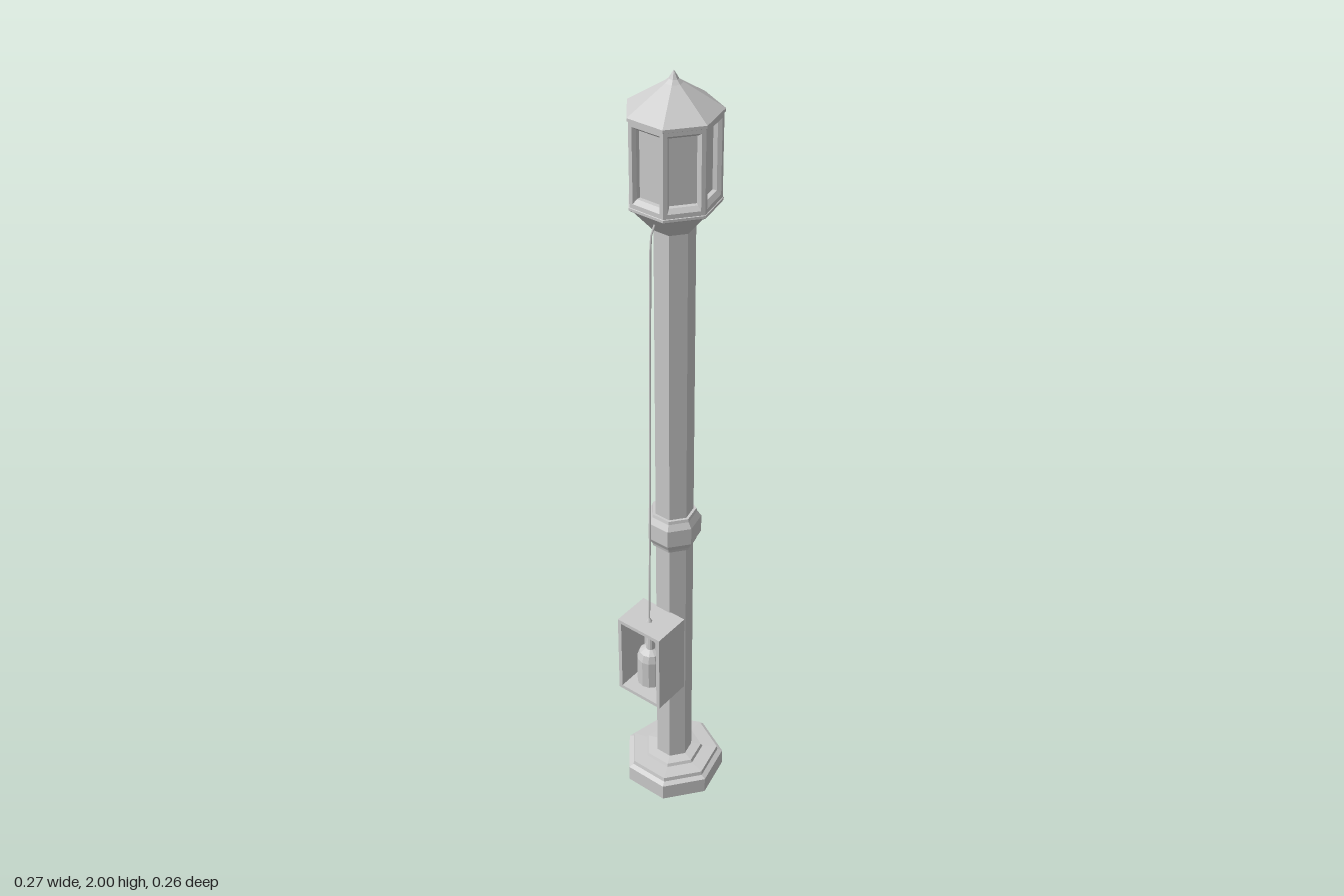
import * as THREE from 'three';

const SIDES = 7;
const CX = 0.004; // axis of the post
const grey = new THREE.MeshStandardMaterial({ color: 0xcccccc, flatShading: true });
const smooth = new THREE.MeshStandardMaterial({ color: 0xcccccc });

// Seven-sided turned part from [radius, y] pairs, bottom to top, one corner on +x
function prism(name, profile) {
  const pts = profile.map(([r, y]) => new THREE.Vector2(r, y));
  const mesh = new THREE.Mesh(new THREE.LatheGeometry(pts, SIDES, Math.PI / 2), grey);
  mesh.name = name;
  mesh.position.x = CX;
  return mesh;
}

// Wall panel facing +z: nested rectangles [halfWidth, bottom, top, z], the last one filled
function recessedPanel(loops) {
  const pos = [], index = [];
  for (const [w, b, t, z] of loops) pos.push(-w, b, z, w, b, z, w, t, z, -w, t, z);
  for (let l = 0; l < loops.length - 1; l++) {
    for (let i = 0; i < 4; i++) {
      const a = l * 4 + i, b = l * 4 + (i + 1) % 4;
      index.push(a, b, b + 4, a, b + 4, a + 4);
    }
  }
  const e = (loops.length - 1) * 4;
  index.push(e, e + 1, e + 2, e, e + 2, e + 3);
  const geo = new THREE.BufferGeometry();
  geo.setAttribute('position', new THREE.Float32BufferAttribute(pos, 3));
  geo.setIndex(index);
  geo.computeVertexNormals();
  return geo;
}

function lantern() {
  const group = new THREE.Group();
  group.name = 'lantern';
  const R = 0.103, y0 = 1.715, y1 = 1.91;
  const half = R * Math.sin(Math.PI / SIDES), apothem = R * Math.cos(Math.PI / SIDES);
  const geo = recessedPanel([
    [half, y0, y1, apothem],
    [half - 0.009, y0 + 0.012, y1 - 0.01, apothem],
    [half - 0.014, y0 + 0.022, y1 - 0.017, apothem - 0.008],
    [half - 0.014, y0 + 0.022, y1 - 0.017, apothem - 0.018],
  ]);
  for (let k = 0; k < SIDES; k++) {
    const win = new THREE.Mesh(geo, grey);
    win.name = 'lanternWindow';
    win.position.x = CX;
    win.rotation.y = Math.PI / 2 + (k + 0.5) * 2 * Math.PI / SIDES;
    group.add(win);
  }
  group.add(prism('lanternSill', [[0.098, 1.705], [0.105, 1.71], [0.105, 1.716], [0.1, 1.718]]));
  group.add(prism('roof', [[0.1, 1.907], [0.106, 1.91], [0.106, 1.917], [0.02, 1.974], [0.011, 1.982], [0, 2]]));
  return group;
}

// Open-sided box holding the hanging weight
function weightBox() {
  const group = new THREE.Group();
  group.name = 'weightBox';
  const x0 = -0.137, x1 = -0.036, y0 = 0.36, y1 = 0.59, z = 0.065, t = 0.01;
  const xm = (x0 + x1) / 2, ym = (y0 + y1) / 2, w = x1 - x0, h = y1 - y0;
  const wall = (name, sx, sy, sz, px, py, pz) => {
    const mesh = new THREE.Mesh(new THREE.BoxGeometry(sx, sy, sz), grey);
    mesh.name = name;
    mesh.position.set(px, py, pz);
    group.add(mesh);
  };
  wall('boxTop', w, t, 2 * z, xm, y1 - t / 2, 0);
  wall('boxBottom', w, t, 2 * z, xm, y0 + t / 2, 0);
  wall('boxBack', t, h - 2 * t, 2 * z, x1 - t / 2, ym, 0);
  for (const s of [-1, 1]) wall('boxSide', w - t, h - 2 * t, t, xm - t / 2, ym, s * (z - t / 2));

  const profile = [[0, 0.39], [0.034, 0.39], [0.034, 0.47], [0.028, 0.49], [0.012, 0.5], [0.009, 0.54], [0.004, 0.55], [0.003, 0.585]];
  const weight = new THREE.Mesh(
    new THREE.LatheGeometry(profile.map(([r, y]) => new THREE.Vector2(r, y)), 12), grey);
  weight.name = 'hangingWeight';
  weight.position.x = -0.09;
  group.add(weight);

  const eyelet = new THREE.Mesh(new THREE.CylinderGeometry(0.003, 0.008, 0.01, 8), grey);
  eyelet.name = 'cordEyelet';
  eyelet.position.set(-0.094, y1 + 0.005, 0);
  group.add(eyelet);
  return group;
}

export function createModel() {
  const model = new THREE.Group();
  model.name = 'lampPost';

  // Stepped foot
  model.add(prism('base', [[0, 0], [0.132, 0], [0.132, 0.046], [0.119, 0.052], [0.117, 0.063],
    [0.078, 0.065], [0.074, 0.073], [0.048, 0.077]]));
  // Shaft flaring into the lantern floor
  model.add(prism('post', [[0.048, 0.07], [0.048, 1.65], [0.1, 1.71]]));
  // Mid-height collar
  model.add(prism('collar', [[0.046, 0.79], [0.055, 0.79], [0.057, 0.798], [0.067, 0.815],
    [0.067, 0.862], [0.057, 0.877], [0.055, 0.885], [0.046, 0.885]]));
  model.add(lantern());
  model.add(weightBox());

  // Slack cord from the flare down to the box
  const path = new THREE.CatmullRomCurve3([
    [-0.055, 1.69], [-0.07, 1.67], [-0.078, 1.5], [-0.084, 1.05], [-0.09, 0.75], [-0.094, 0.59],
  ].map(([x, y]) => new THREE.Vector3(x, y, 0)));
  const cord = new THREE.Mesh(new THREE.TubeGeometry(path, 30, 0.0025, 6), smooth);
  cord.name = 'cord';
  model.add(cord);

  return model;
}
